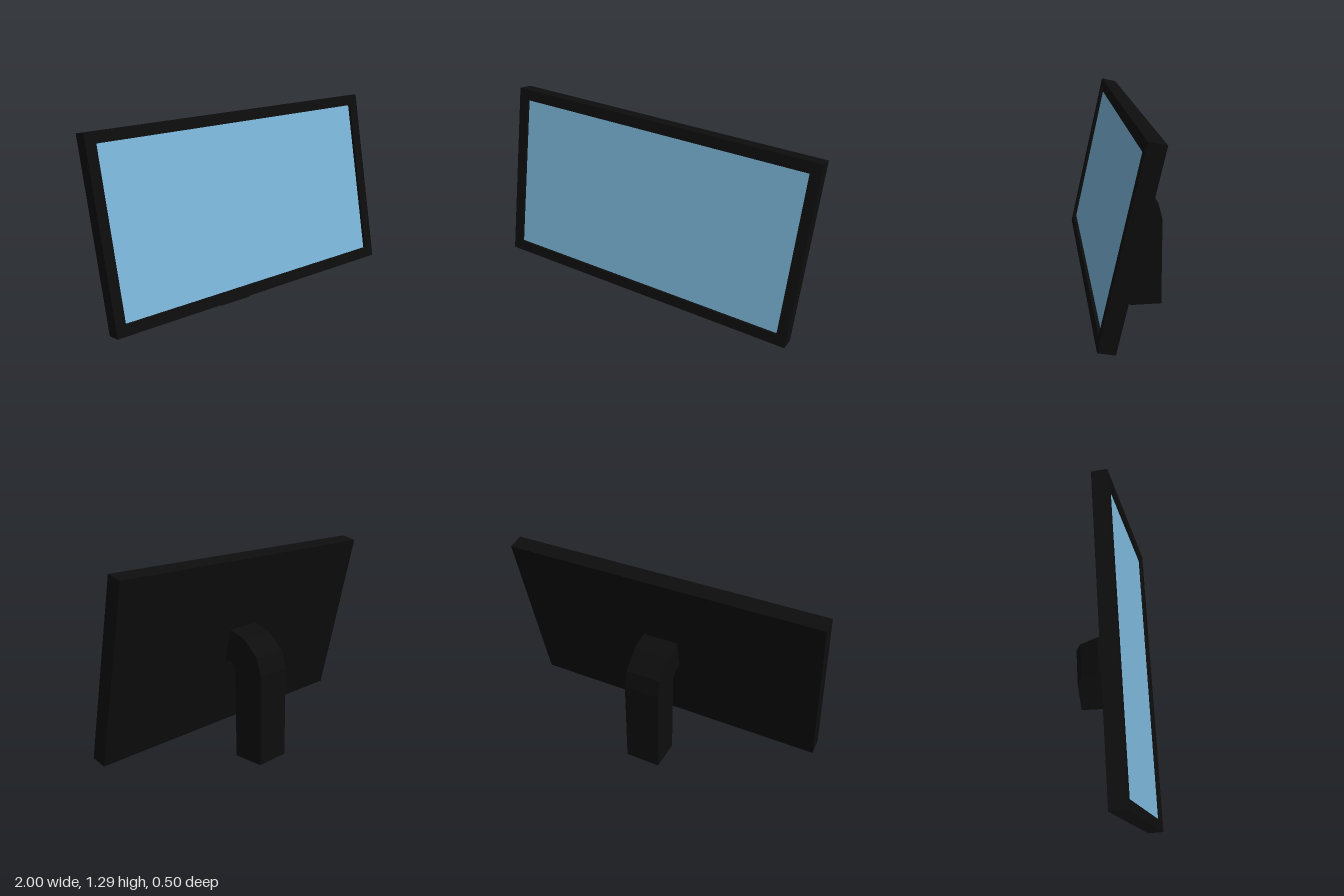
import * as THREE from 'three';

const W = 2, H = 1.128, DEPTH = 0.1;          // panel
const SW = 1.876, SH = 0.996, RECESS = 0.02;  // screen opening
const TILT = 0.222;

const black = new THREE.MeshStandardMaterial({ color: 0x0d0d0d, flatShading: true });
const blue = new THREE.MeshStandardMaterial({ color: 0x7ab5d8 });

function addMesh(parent, name, geometry, material) {
  const mesh = new THREE.Mesh(geometry, material);
  mesh.name = name;
  parent.add(mesh);
  return mesh;
}

function rectPoints(w, h) {
  return [[-1, -1], [1, -1], [1, 1], [-1, 1]].map(([x, y]) => new THREE.Vector2(x * w / 2, y * h / 2));
}

export function createModel() {
  const group = new THREE.Group();
  group.name = 'monitor';

  // Tilted display: rear housing, raised bezel and recessed screen
  const display = new THREE.Group();
  display.name = 'display';
  display.position.set(0, 0.728, 0.08);
  display.rotation.x = -TILT;
  group.add(display);

  const housing = addMesh(display, 'housing', new THREE.BoxGeometry(W, H, DEPTH - RECESS), black);
  housing.position.z = -RECESS / 2;

  const frame = new THREE.Shape(rectPoints(W, H));
  frame.holes.push(new THREE.Path(rectPoints(SW, SH).reverse()));
  const bezel = addMesh(display, 'bezel',
    new THREE.ExtrudeGeometry(frame, { depth: RECESS, bevelEnabled: false }), black);
  bezel.position.z = DEPTH / 2 - RECESS;

  const screen = addMesh(display, 'screen', new THREE.PlaneGeometry(SW, SH), blue);
  screen.position.z = DEPTH / 2 - RECESS + 0.001;

  // Bent stand arm: side profile as [z, y], swept across x
  const profile = [
    [-0.043, 0], [-0.25, 0], [-0.247, 0.58], [-0.218, 0.688], [-0.107, 0.79], [0.005, 0.825],
    [0.03, 0.82], [0.075, 0.62], [0.01, 0.622], [-0.017, 0.615], [-0.038, 0.583],
  ];
  const side = new THREE.Shape(profile.map(([z, y]) => new THREE.Vector2(-z, y)));
  const armGeometry = new THREE.ExtrudeGeometry(side, { depth: 0.23, bevelEnabled: false });
  armGeometry.rotateY(Math.PI / 2);
  const arm = addMesh(group, 'standArm', armGeometry, black);
  arm.position.x = -0.1;

  return group;
}
